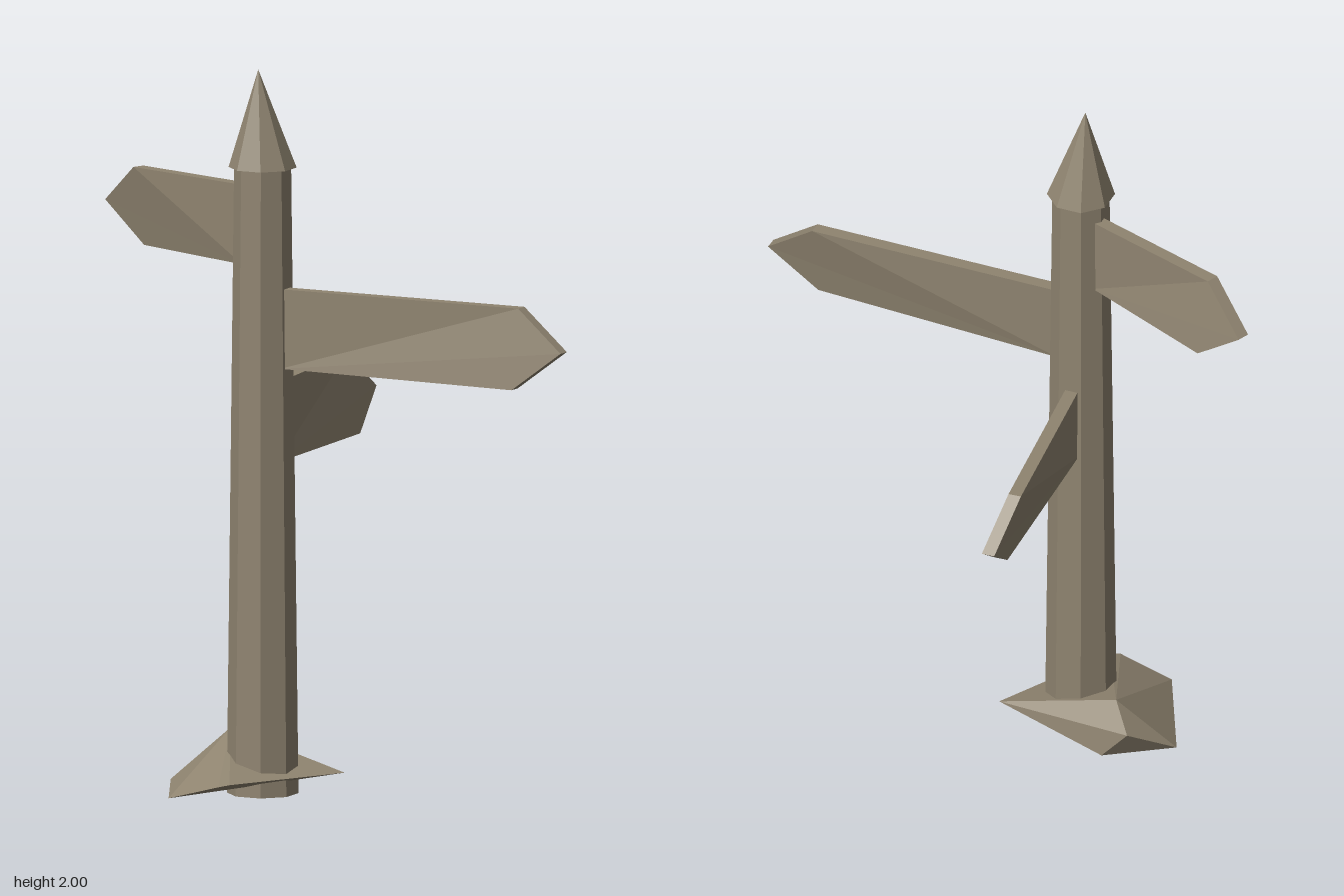
import * as THREE from 'three';
import { toCreasedNormals } from 'three/addons/utils/BufferGeometryUtils.js';
import { ConvexGeometry } from 'three/addons/geometries/ConvexGeometry.js';

const POLE_X = -0.203, POLE_Z = 0.147;
const HALF_HEIGHT = 0.11, HALF_THICK = 0.018;

// Pointed board running along +x from the pole, slightly twisted at its shoulder
function boardGeometry(length) {
  const start = 0.065, shoulder = length - 0.145;
  const shape = new THREE.Shape([
    [start, -HALF_HEIGHT], [shoulder, -HALF_HEIGHT], [length, 0],
    [shoulder, HALF_HEIGHT], [start, HALF_HEIGHT],
  ].map(([x, y]) => new THREE.Vector2(x, y)));
  const geometry = new THREE.ExtrudeGeometry(shape, { depth: HALF_THICK * 2, bevelEnabled: false });
  geometry.translate(0, 0, -HALF_THICK);
  const p = geometry.attributes.position;
  for (let i = 0; i < p.count; i++) {
    if (Math.abs(p.getX(i) - shoulder) < 1e-4) {
      p.setZ(i, p.getZ(i) + (p.getY(i) < 0 ? 0.014 : -0.025));
    }
  }
  return toCreasedNormals(geometry, 0.5);
}

export function createModel() {
  const model = new THREE.Group();
  model.name = 'signpost';
  const wood = new THREE.MeshStandardMaterial({ color: 0x8f8470, flatShading: true });
  wood.name = 'weathered wood';
  const boardWood = wood; // one colour throughout

  const add = (name, geometry, x, y, z) => {
    const mesh = new THREE.Mesh(geometry, boardWood);
    mesh.name = name;
    mesh.position.set(x, y, z);
    model.add(mesh);
    return mesh;
  };

  // Tapered octagonal pole
  add('pole', new THREE.CylinderGeometry(0.078, 0.098, 1.74, 8), POLE_X, 0.87, POLE_Z);

  // Pointed cap with its tip leaning a little sideways
  const cap = new THREE.ConeGeometry(0.093, 0.27, 8);
  const p = cap.attributes.position;
  for (let i = 0; i < p.count; i++) {
    if (p.getY(i) > 0) p.setX(i, p.getX(i) - 0.012);
  }
  add('cap', cap, POLE_X, 1.865, POLE_Z);

  // Direction boards: name, centre height, length, direction in x and z
  const boards = [
    ['upperBoard', 1.565, 0.63, -0.445, -0.445],
    ['middleBoard', 1.29, 0.935, 0.848, 0.393],
    ['lowerBoard', 1.015, 0.743, 0.25, -0.70],
  ];
  for (const [name, y, length, dx, dz] of boards) {
    add(name, boardGeometry(length), POLE_X, y, POLE_Z).rotation.y = Math.atan2(-dz, dx);
  }

  // Faceted rock around the foot
  const rock = [
    [-0.465, 0.008, -0.02], [-0.45, 0.008, 0.305], [-0.31, 0.05, 0.367], [-0.28, 0.055, 0.36],
    [0.02, 0.055, 0.13], [-0.26, 0.005, -0.055], [-0.33, 0.09, -0.083], [-0.3, 0.155, -0.005],
  ].map((c) => new THREE.Vector3(...c));
  add('rock', new ConvexGeometry(rock), 0, 0, 0);

  return model;
}
